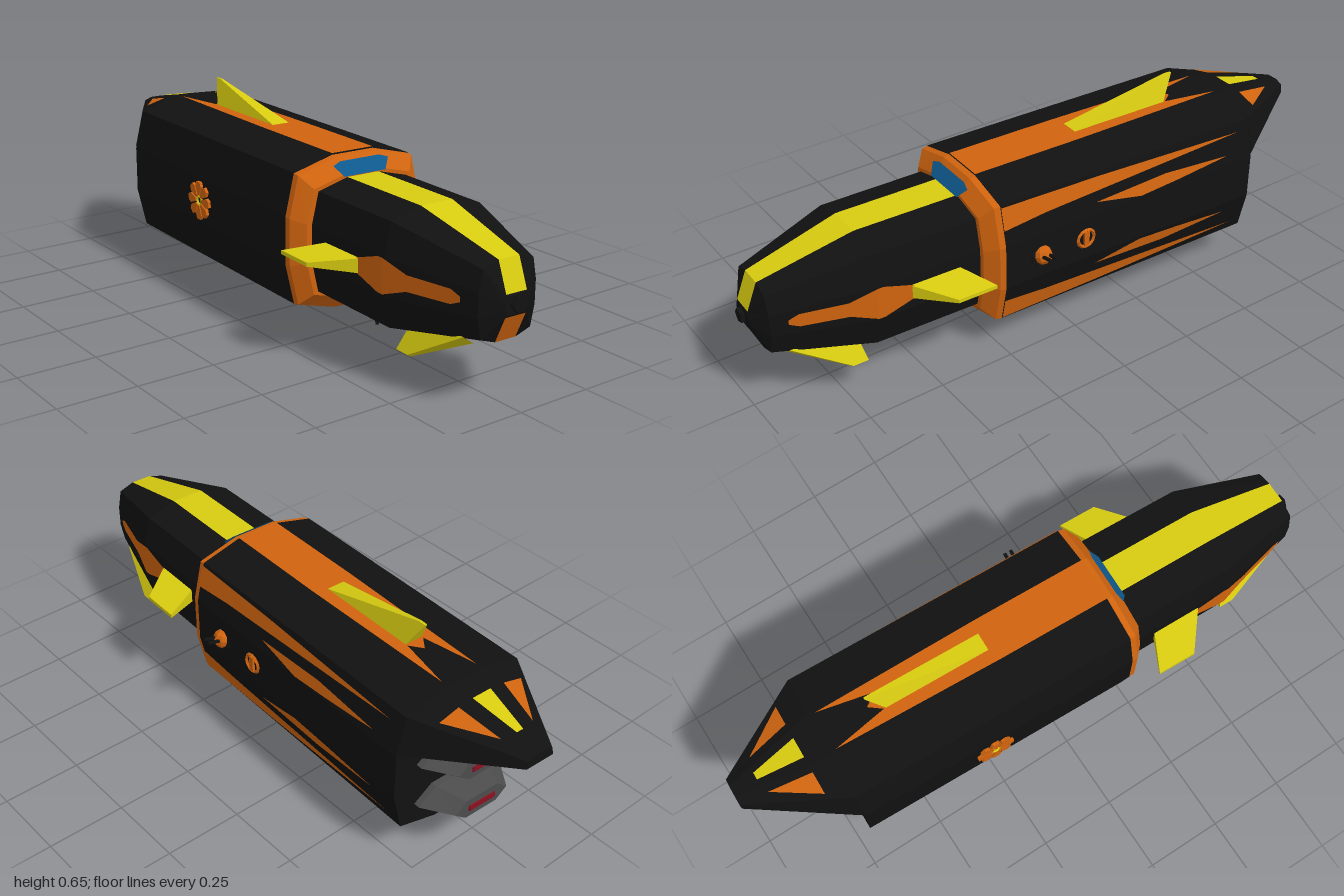
import * as THREE from 'three';

const paint = (color) => new THREE.MeshStandardMaterial({ color, flatShading: true, side: THREE.DoubleSide });
const black = paint(0x111111), orange = paint(0xd0640f), yellow = paint(0xd8cc10);
const blue = paint(0x0f5a90), grey = paint(0x4c4c4c), red = paint(0x8a1020);

function add(parent, name, geometry, material) {
  const mesh = new THREE.Mesh(geometry, material);
  mesh.name = name;
  parent.add(mesh);
  return mesh;
}

function fromTriangles(pos) {
  const g = new THREE.BufferGeometry();
  g.setAttribute('position', new THREE.Float32BufferAttribute(pos, 3));
  g.computeVertexNormals();
  return g;
}

// Joins rings of [x, y, z] points; "sides" picks which facets to build
function loft(rings, { sides, caps = true } = {}) {
  const pos = [], n = rings[0].length;
  const list = sides ?? [...Array(n).keys()];
  for (let r = 0; r < rings.length - 1; r++) {
    for (const i of list) {
      const j = (i + 1) % n, A = rings[r], B = rings[r + 1];
      for (const p of [A[i], A[j], B[j], A[i], B[j], B[i]]) pos.push(...p);
    }
  }
  if (caps && !sides) {
    const A = rings[0], B = rings.at(-1);
    for (let i = 1; i < n - 1; i++) {
      for (const p of [A[0], A[i + 1], A[i], B[0], B[i], B[i + 1]]) pos.push(...p);
    }
  }
  return fromTriangles(pos);
}

// Mirrors half a cross-section of [z, y] points into a full ring at x
const ring = (x, half) => [...half, ...half.map(([z, y]) => [-z, y]).reverse()].map(([z, y]) => [x, y, z]);

// Twelve-sided body section
function section(x, top, bottom, w, flat = w * 0.31) {
  const c = (top + bottom) / 2, h = (top - bottom) / 2;
  return ring(x, [[flat, top], [w * 0.875, c + h * 0.85], [w, c + h * 0.31],
    [w, c - h * 0.31], [w * 0.875, c - h * 0.85], [flat, bottom]]);
}

// Flat decal outline laid on a surface by a mapping rule
function patch(outline, map) {
  const g = new THREE.ShapeGeometry(new THREE.Shape(outline.map(([u, v]) => new THREE.Vector2(u, v))));
  const p = g.attributes.position;
  for (let i = 0; i < p.count; i++) p.setXYZ(i, ...map(p.getX(i), p.getY(i)));
  const flat = g.toNonIndexed();
  flat.computeVertexNormals();
  return flat;
}

// Tapered fin: x ranges and [y, z] centres at root and tip, half thicknesses
function fin(rootX, tipX, root, tip, t0, t1) {
  const dy = tip[0] - root[0], dz = tip[1] - root[1], l = Math.hypot(dy, dz);
  const quad = ([a, b], [y, z], t) => [[a, 1], [b, 1], [b, -1], [a, -1]]
    .map(([x, s]) => [x, y - s * t * dz / l, z + s * t * dy / l]);
  return loft([quad(rootX, root, t0), quad(tipX, tip, t1)]);
}

// Ball turret whose twin barrels point along local +z
function turret(name, size) {
  const g = new THREE.Group();
  g.name = name;
  add(g, 'turretBase', new THREE.CylinderGeometry(size * 1.3, size * 1.3, 0.012, 10).rotateX(Math.PI / 2), black);
  add(g, 'turretBall', new THREE.SphereGeometry(size, 8, 6), orange);
  for (const s of [-1, 1]) {
    const barrel = add(g, 'barrel', new THREE.CylinderGeometry(0.006, 0.006, 0.07, 6).rotateX(Math.PI / 2), black);
    barrel.position.set(s * 0.011, 0, 0.032);
  }
  return g;
}

export function createModel() {
  const model = new THREE.Group();
  const ship = new THREE.Group();
  ship.name = 'ship';
  ship.rotation.y = -0.036;
  ship.position.z = -0.012;
  model.add(ship);

  // Rear hull, collar and overhanging tail
  add(ship, 'rearHull', loft([section(-0.7, 0.565, 0.085, 0.24), section(0.25, 0.565, 0.085, 0.24)]), black);
  add(ship, 'collar', loft([section(0.25, 0.563, 0.085, 0.24), section(0.27, 0.56, 0.088, 0.238),
    section(0.305, 0.515, 0.13, 0.2)]), orange);
  add(ship, 'tail', loft([
    ring(-1, [[0.02, 0.5], [0.045, 0.49], [0.05, 0.465]]),
    ring(-0.7, [[0.075, 0.565], [0.21, 0.53], [0.24, 0.41]])]), black);

  // Window on the collar slope
  add(ship, 'window', patch([[-0.1, 0.536], [-0.07, 0.545], [0.07, 0.545], [0.1, 0.536], [0.075, 0.505], [-0.075, 0.505]],
    (z, y) => [0.276 + (0.56 - y) * 0.74, y + 0.006, z]), blue);

  // Front hull with coloured top and bottom strips
  const nose = [section(0.28, 0.505, 0.14, 0.183), section(0.65, 0.505, 0.14, 0.18),
    section(0.95, 0.432, 0.2, 0.1, 0.036), section(0.985, 0.345, 0.28, 0.045, 0.036)];
  add(ship, 'frontHull', loft(nose, { sides: [0, 1, 2, 3, 4, 6, 7, 8, 9, 10] }), black);
  add(ship, 'topStrip', loft(nose, { sides: [11] }), yellow);
  add(ship, 'bottomStrip', loft(nose, { sides: [5] }), orange);
  add(ship, 'nosePlate', loft([nose[3], section(0.988, 0.34, 0.285, 0.04, 0.03)]), black);
  const tip = add(ship, 'noseTip', new THREE.CylinderGeometry(0.024, 0.024, 0.03, 5).rotateZ(-Math.PI / 2), black);
  tip.position.set(0.986, 0.315, 0);

  // Side markings, side fins and lower fins, mirrored
  const cheek = (x) => 0.1835 - Math.max(0, x - 0.65) * 0.267;
  const markings = [
    [[0.53, 0.3], [0.63, 0.272], [0.65, 0.272], [0.65, 0.378], [0.63, 0.378], [0.53, 0.345]],
    [[0.65, 0.272], [0.73, 0.3], [0.87, 0.302], [0.9, 0.315], [0.9, 0.33], [0.87, 0.345], [0.73, 0.348], [0.65, 0.378]]];
  for (const s of [-1, 1]) {
    for (const m of markings) add(ship, 'sideMarking', patch(m, (x, y) => [x, y, s * (cheek(x) + 0.002)]), orange);
    add(ship, 'sideFin', fin([0.38, 0.55], [0.32, 0.45], [0.322, s * 0.17], [0.322, s * 0.3], 0.024, 0.006), yellow);
    add(ship, 'lowerFin', fin([0.7, 0.9], [0.68, 0.73], [0.2, s * 0.085], [0.11, s * 0.15], 0.022, 0.006), yellow);
  }

  // Dorsal and ventral fins
  add(ship, 'topFin', fin([-0.49, -0.12], [-0.54, -0.515], [0.563, 0], [0.65, 0], 0.032, 0.004), yellow);
  add(ship, 'bottomFin', fin([-0.4, 0], [-0.4, -0.36], [0.087, 0], [0, 0], 0.032, 0.004), yellow);

  // Forked orange band along the hull top
  add(ship, 'topBand', patch([[0.25, 0.074], [-0.12, 0.074], [-0.68, 0.065], [-0.5, 0.03], [-0.54, 0],
    [-0.5, -0.03], [-0.68, -0.065], [-0.12, -0.074], [0.25, -0.074]], (x, z) => [x, 0.568, z]), orange);

  // Tail markings follow the tapering top facets
  const tailY = (x, z) => {
    const t = (-0.7 - x) / 0.3, f = 0.075 - 0.055 * t, c = 0.21 - 0.165 * t;
    const k = Math.max(0, (Math.abs(z) - f) / (c - f));
    return 0.568 - 0.065 * t - k * (0.035 - 0.025 * t);
  };
  const onTail = (x, z) => [x, tailY(x, z), z];
  add(ship, 'tailMarking', patch([[-0.92, 0.012], [-0.92, -0.012], [-0.77, -0.034], [-0.77, 0.034]], onTail), yellow);
  for (const s of [-1, 1]) {
    add(ship, 'tailMarking', patch([[-0.91, s * 0.06], [-0.77, s * 0.085], [-0.77, s * 0.155]], onTail), orange);
  }

  // Tapering streaks on the rear side's upper and lower facets
  const streaks = [
    [[0.25, 0.05], [0.25, 0.6], [0.1, 0.5], [-0.65, 0.25], [-0.1, 0.1]],
    [[-0.08, 0.7], [-0.25, 0.95], [-0.4, 0.88], [-0.6, 0.75], [-0.35, 0.62]]];
  for (const s of [-1, 1]) {
    for (const k of streaks) {
      add(ship, 'streak', patch(k, (x, t) =>
        [x, 0.325 + s * (0.204 - 0.13 * t), -0.214 - 0.03 * t]), orange);
    }
  }

  // Eight-bladed fan on the front side
  const fan = new THREE.Group();
  fan.name = 'fan';
  fan.position.set(-0.25, 0.325, 0.24);
  ship.add(fan);
  const petal = new THREE.Shape([[0.018, -0.005], [0.048, -0.017], [0.063, -0.01], [0.063, 0.01], [0.048, 0.017], [0.018, 0.005]]
    .map(([a, b]) => new THREE.Vector2(a, b)));
  for (let i = 0; i < 8; i++) {
    const blade = add(fan, 'fanBlade', new THREE.ExtrudeGeometry(petal, { depth: 0.01, bevelEnabled: false }), orange);
    blade.rotation.z = i * Math.PI / 4;
  }
  add(fan, 'fanHub', new THREE.TorusGeometry(0.014, 0.004, 4, 10), yellow).position.z = 0.005;

  // Turrets on the back side and under the front hull
  const gun = turret('sideTurret', 0.032);
  gun.position.set(0.12, 0.325, -0.238);
  gun.rotation.set(0.25, Math.PI, 0);
  const port = new THREE.Group();
  port.name = 'sidePort';
  port.position.set(-0.04, 0.325, -0.242);
  add(port, 'portRing', new THREE.TorusGeometry(0.03, 0.006, 4, 12), orange);
  add(port, 'portBar', new THREE.BoxGeometry(0.018, 0.05, 0.012), orange);
  const belly = turret('bellyTurret', 0.028);
  belly.position.set(0.39, 0.128, 0);
  belly.rotation.set(Math.PI / 2 - 0.3, 0.5, 0);
  ship.add(gun, port, belly);
  add(ship, 'bellyMount', new THREE.BoxGeometry(0.08, 0.014, 0.1), black).position.set(0.39, 0.134, 0);

  // Stacked engines with glowing slits
  const nozzle = (x, y, w, h) => ring(x, [[w * 0.6, y + h], [w, y], [w * 0.6, y - h]]);
  for (const y of [0.33, 0.18]) {
    add(ship, 'engine', loft([nozzle(-0.81, y, 0.1, 0.032), nozzle(-0.72, y, 0.16, 0.045), nozzle(-0.68, y, 0.16, 0.045)]), grey);
    add(ship, 'engineSlit', new THREE.BoxGeometry(0.006, 0.018, 0.1), red).position.set(-0.811, y, 0);
  }
  return model;
}
